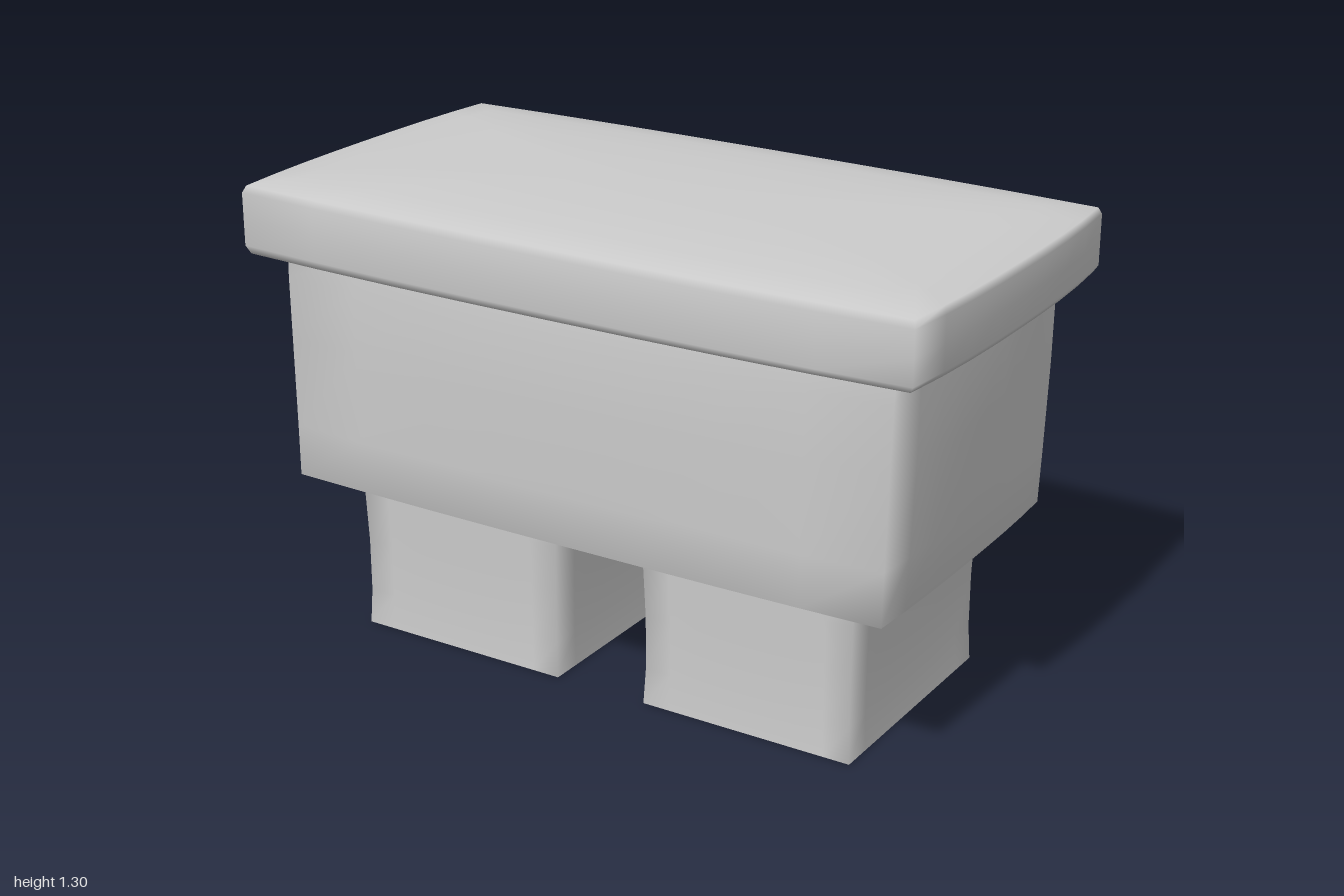
import * as THREE from 'three';

const SEG = 8; // points along each side of a ring

// Rectangular ring with gently bowed sides, counter-clockwise from above
function ring({ y, x0, x1, z0, z1, bow = 0, tilt = 0 }) {
  const corners = [[x0, z1], [x1, z1], [x1, z0], [x0, z0]];
  const out = [[0, 1], [1, 0], [0, -1], [-1, 0]];
  const pts = [];
  for (let s = 0; s < 4; s++) {
    const a = corners[s], b = corners[(s + 1) % 4];
    for (let i = 0; i < SEG; i++) {
      const t = i / SEG;
      const k = bow * (1 - Math.pow(Math.abs(2 * t - 1), 2.5));
      const x = a[0] + (b[0] - a[0]) * t + out[s][0] * k;
      const z = a[1] + (b[1] - a[1]) * t + out[s][1] * k;
      pts.push([x, y - tilt * x, z]);
    }
  }
  return pts;
}

// Smooth skin through rings listed from bottom to top, with optional end caps
function loft(name, sections, material, capBottom, capTop) {
  const rings = sections.map(ring);
  const n = SEG * 4;
  const pos = rings.flat(2);
  const index = [];
  for (let r = 0; r < rings.length - 1; r++) {
    for (let i = 0; i < n; i++) {
      const a = r * n + i, b = r * n + (i + 1) % n;
      index.push(a, b, b + n, a, b + n, a + n);
    }
  }
  const cap = (r, top) => {
    const c = [0, 1, 2].map(k => rings[r].reduce((sum, p) => sum + p[k], 0) / n);
    const id = pos.length / 3;
    pos.push(...c);
    for (let i = 0; i < n; i++) {
      const a = r * n + i, b = r * n + (i + 1) % n;
      if (top) index.push(id, a, b);
      else index.push(id, b, a);
    }
  };
  if (capBottom) cap(0, false);
  if (capTop) cap(rings.length - 1, true);
  const geo = new THREE.BufferGeometry();
  geo.setAttribute('position', new THREE.Float32BufferAttribute(pos, 3));
  geo.setIndex(index);
  geo.computeVertexNormals();
  const mesh = new THREE.Mesh(geo, material);
  mesh.name = name;
  return mesh;
}

// Section centred on the origin
const centred = (y, x, z, bow = 0, tilt = 0) => ({ y, x0: -x, x1: x, z0: -z, z1: z, bow, tilt });

export function createModel() {
  const group = new THREE.Group();
  group.name = 'block';
  const solid = new THREE.MeshStandardMaterial({ color: 0xcccccc });
  const open = new THREE.MeshStandardMaterial({ color: 0xcccccc, side: THREE.DoubleSide });

  // Overhanging slab with a low domed top
  group.add(loft('topSlab', [
    centred(1.09, 0.88, 0.44, 0.02),
    centred(1.09, 0.965, 0.515, 0.025),
    centred(1.11, 0.975, 0.525, 0.025, 0.003),
    centred(1.18, 0.975, 0.525, 0.025, 0.005),
    centred(1.25, 0.975, 0.525, 0.025, 0.006),
    centred(1.268, 0.968, 0.515, 0.022, 0.006),
    centred(1.284, 0.86, 0.41, 0.02, 0.007),
    centred(1.294, 0.68, 0.27, 0.01, 0.008),
    centred(1.298, 0.4, 0.12, 0, 0.01),
  ], solid, true, true));

  // Body, slightly swollen between its corners
  group.add(loft('body', [
    { y: 0.442, x0: -0.86, x1: 0.85, z0: -0.41, z1: 0.41, bow: 0.015 },
    { y: 0.455, x0: -0.895, x1: 0.88, z0: -0.445, z1: 0.45, bow: 0.012 },
    { y: 0.6, x0: -0.895, x1: 0.883, z0: -0.452, z1: 0.45, bow: 0.02 },
    { y: 0.85, x0: -0.895, x1: 0.89, z0: -0.455, z1: 0.452, bow: 0.025 },
    { y: 1.02, x0: -0.898, x1: 0.893, z0: -0.453, z1: 0.45, bow: 0.022 },
    { y: 1.1, x0: -0.9, x1: 0.895, z0: -0.445, z1: 0.445, bow: 0.015 },
  ], solid, true, false));

  // Hollow legs, open underneath, slightly waisted
  for (const [name, x0, x1] of [['rightLeg', -0.765, -0.125], ['leftLeg', 0.14, 0.755]]) {
    const section = (y, inset, bow) =>
      ({ y, x0: x0 + inset, x1: x1 - inset, z0: -0.348 + inset, z1: 0.348 - inset, bow });
    group.add(loft(name, [
      section(0, 0.003, 0),
      section(0.1, 0.008, 0),
      section(0.25, 0.008, 0.002),
      section(0.38, 0.004, 0.002),
      section(0.46, 0, 0),
    ], open, false, false));
  }
  return group;
}
